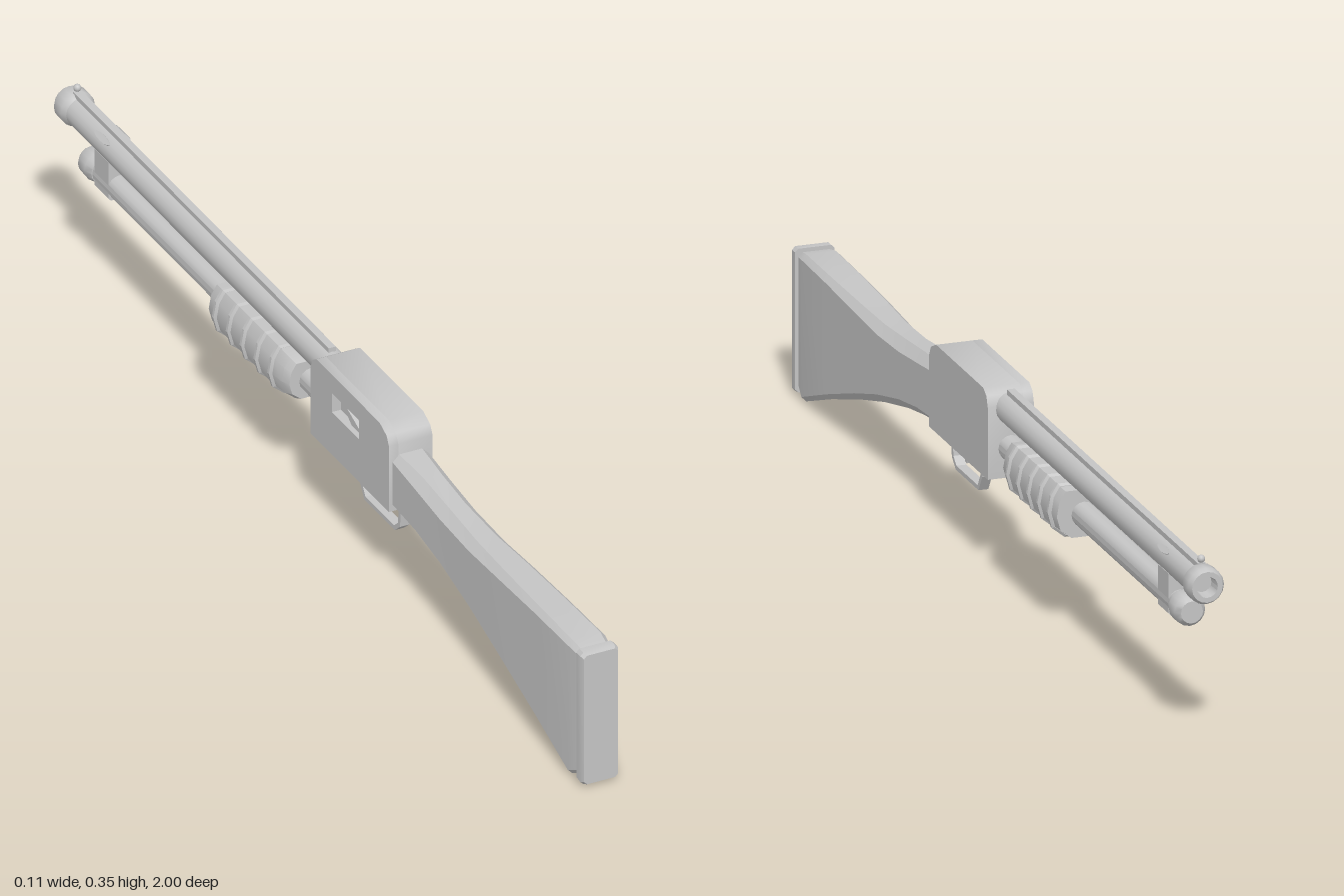
import * as THREE from 'three';
import { toCreasedNormals } from 'three/addons/utils/BufferGeometryUtils.js';

const grey = new THREE.MeshStandardMaterial({ color: 0xc4c4c4, side: THREE.DoubleSide });
grey.name = 'plain grey';

export function createModel() {
  const model = new THREE.Group();
  model.name = 'pumpActionLongGun';

  const add = (name, geometry, x = 0, y = 0, z = 0, crease = 0.7) => {
    const mesh = new THREE.Mesh(crease ? toCreasedNormals(geometry, crease) : geometry, grey);
    mesh.name = name;
    mesh.position.set(x, y, z);
    model.add(mesh);
    return mesh;
  };

  // Closed skin through cross-sections ordered from +z to -z
  const loft = (sections) => {
    const n = sections[0].pts.length, pos = [], idx = [];
    sections.forEach(({ z, pts }) => pts.forEach(([x, y]) => pos.push(x, y, z)));
    for (let s = 0; s < sections.length - 1; s++)
      for (let j = 0; j < n; j++) {
        const a = s * n + j, b = s * n + (j + 1) % n;
        idx.push(a, a + n, b, b, a + n, b + n);
      }
    const last = (sections.length - 1) * n;
    for (let j = 1; j < n - 1; j++) idx.push(0, j, j + 1, last, last + j + 1, last + j);
    const g = new THREE.BufferGeometry();
    g.setAttribute('position', new THREE.Float32BufferAttribute(pos, 3));
    g.setIndex(idx);
    return g;
  };

  // Rectangle with chamfered corners, counter-clockwise from +z
  const section = (z, w, y0, y1, c) => ({
    z,
    pts: [[w, y0 + c], [w, y1 - c], [w - c, y1], [c - w, y1],
      [-w, y1 - c], [-w, y0 + c], [c - w, y0], [w - c, y0]],
  });

  // Revolved part along z: points are [radius, z]
  const turned = (points, sides = 16) =>
    new THREE.LatheGeometry(points.map(([r, z]) => new THREE.Vector2(r, z)), sides).rotateX(Math.PI / 2);

  // Side outline of [z, y] points, extruded from x0 towards -x
  const slab = (outline, hole, x0, depth) => {
    const shape = new THREE.Shape(outline.map(([z, y]) => new THREE.Vector2(z, y)));
    if (hole) shape.holes.push(new THREE.Path(hole.map(([z, y]) => new THREE.Vector2(z, y))));
    return new THREE.ExtrudeGeometry(shape, { depth, bevelEnabled: false })
      .rotateY(-Math.PI / 2).translate(x0, 0, 0);
  };

  // Butt pad and stock
  add('buttPad', loft([
    section(1.0, 0.033, 0.007, 0.264, 0.006),
    section(0.992, 0.036, 0.004, 0.267, 0.006),
    section(0.977, 0.036, 0.006, 0.267, 0.006),
  ]), 0, 0, 0, 0.4);
  add('padSpacer', new THREE.BoxGeometry(0.056, 0.23, 0.016), 0, 0.137, 0.973, 0);
  add('stock', loft([
    section(0.971, 0.032, 0.014, 0.262, 0.008),
    section(0.945, 0.036, 0.0, 0.267, 0.009),
    section(0.82, 0.036, 0.045, 0.266, 0.01),
    section(0.68, 0.036, 0.09, 0.264, 0.013),
    section(0.57, 0.035, 0.121, 0.262, 0.016),
    section(0.46, 0.034, 0.146, 0.268, 0.018),
    section(0.37, 0.034, 0.162, 0.277, 0.017),
    section(0.27, 0.035, 0.175, 0.284, 0.012),
  ]));

  // Receiver with an open ejection port on its right side
  const outline = [[-0.01, 0.173], [0.285, 0.173], [0.285, 0.304], [0.276, 0.321],
    [0.25, 0.333], [0.013, 0.333], [-0.003, 0.323], [-0.01, 0.304]];
  const port = [[0.07, 0.258], [0.172, 0.258], [0.172, 0.296], [0.07, 0.296]];
  add('receiver', slab(outline, null, 0.042, 0.066));
  add('receiverRightWall', slab(outline, port, -0.024, 0.018));
  add('bolt', slab([[0.075, 0.296], [0.125, 0.258], [0.172, 0.258]], null, -0.024, 0.008));

  // Barrel, rib and hollow muzzle
  const barrelY = 0.298;
  add('barrel', turned([[0.0, -0.97], [0.027, -0.97], [0.027, 0.0], [0.0, 0.0]]), 0, barrelY, 0);
  add('barrelRib', new THREE.BoxGeometry(0.014, 0.014, 0.96), 0, 0.326, -0.49, 0);
  add('muzzle', turned([[0.0, -0.973], [0.017, -0.973], [0.019, -1.0], [0.028, -1.0],
    [0.033, -0.992], [0.033, -0.966], [0.027, -0.957]]), 0, barrelY, 0);
  add('sightPost', new THREE.CylinderGeometry(0.003, 0.004, 0.014, 8), 0, 0.333, -0.968);
  add('sightBead', new THREE.SphereGeometry(0.007, 10, 8), 0, 0.34, -0.968, 0);
  for (const side of [-1, 1]) {
    const vent = add('barrelVent', new THREE.CylinderGeometry(0.006, 0.006, 0.004, 12).scale(1, 1, 4.5),
      side * 0.0195, barrelY + 0.0175, -0.835);
    vent.rotation.z = -side * Math.PI / 4;
  }

  // Magazine tube, cap and barrel bracket
  const tubeY = 0.227;
  add('magazineTube', turned([[0.0, -0.87], [0.0225, -0.87], [0.0225, 0.0], [0.0, 0.0]]), 0, tubeY, 0);
  add('magazineCap', turned([[0.0, -0.922], [0.02, -0.922], [0.028, -0.911],
    [0.029, -0.885], [0.024, -0.868], [0.0, -0.868]]), 0, tubeY, 0);
  add('barrelBracket', loft([
    section(-0.81, 0.021, 0.203, 0.285, 0.005),
    section(-0.862, 0.021, 0.203, 0.285, 0.005),
  ]));

  // Sliding fore-end: faceted grip with raised rings
  const gripSection = (z, k) => ({
    z,
    pts: [[0.052, 0], [0.047, 0.028], [0.035, 0.047], [-0.035, 0.047], [-0.047, 0.028],
      [-0.052, 0], [-0.045, -0.026], [-0.024, -0.043], [0.024, -0.043], [0.045, -0.026]]
      .map(([x, y]) => [x * k, y * k + tubeY]),
  });
  add('foreEnd', loft([
    gripSection(-0.09, 0.8), gripSection(-0.105, 0.93), gripSection(-0.14, 1),
    gripSection(-0.34, 1), gripSection(-0.378, 0.95),
  ]), 0, 0, 0, 0.5);
  for (let i = 0; i < 5; i++) {
    const z = -0.135 - i * 0.052;
    add('foreEndRing', loft([gripSection(z, 1.0), gripSection(z - 0.003, 1.09),
      gripSection(z - 0.009, 1.09), gripSection(z - 0.012, 1.0)]), 0, 0, 0, 0.3);
  }

  // Trigger guard and trigger
  add('triggerGuard', slab([[0.268, 0.18], [0.262, 0.122], [0.242, 0.105], [0.128, 0.105],
    [0.109, 0.135], [0.104, 0.18], [0.112, 0.18], [0.117, 0.138], [0.132, 0.113],
    [0.239, 0.113], [0.254, 0.126], [0.26, 0.18]], null, 0.009, 0.018), 0, 0, 0, 0.3);
  add('trigger', slab([[0.213, 0.18], [0.2, 0.155], [0.207, 0.132], [0.199, 0.13],
    [0.191, 0.155], [0.198, 0.18]], null, 0.005, 0.01), 0, 0, 0, 0.3);

  return model;
}
